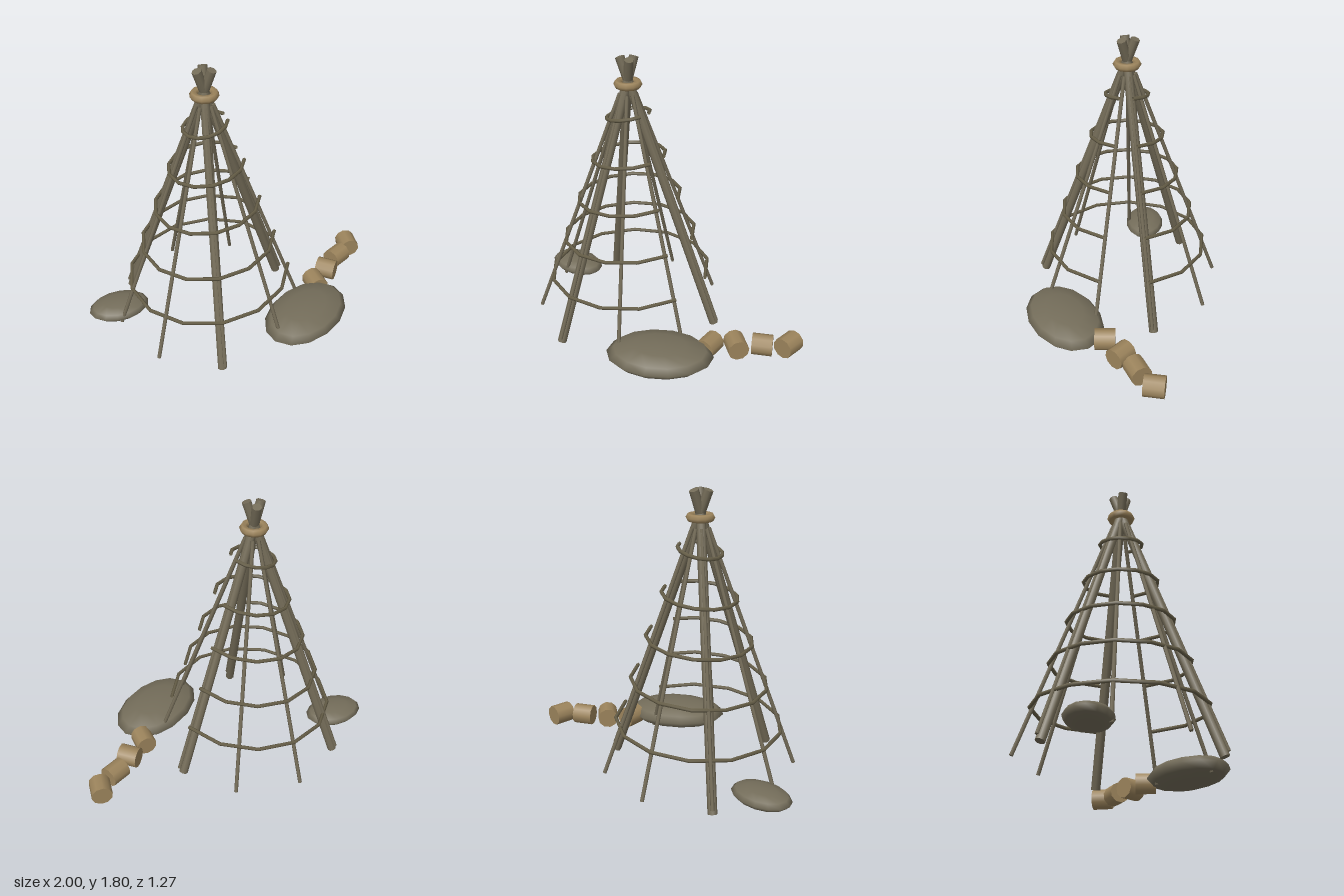
import * as THREE from 'three';

const CX = -0.205, CZ = -0.012;          // axis of the frame
const RAD = Math.PI / 180;
const DOOR_START = 19.5, SWEEP = 324.5;  // hoops and ribs leave a doorway towards +x

const wood = new THREE.MeshStandardMaterial({ color: 0x746c58 });
wood.name = 'weatheredWood';
const twig = new THREE.MeshStandardMaterial({ color: 0x686049, side: THREE.DoubleSide });
twig.name = 'darkTwig';
const stone = new THREE.MeshStandardMaterial({ color: 0x746d5a });
stone.name = 'stone';
const tan = new THREE.MeshStandardMaterial({ color: 0x9c845c });
tan.name = 'tanHide';

// point at an angle and radius around the frame axis
function around(deg, r, y) {
  return new THREE.Vector3(CX + r * Math.cos(deg * RAD), y, CZ + r * Math.sin(deg * RAD));
}

function rod(name, a, b, radius, sides, material) {
  const dir = b.clone().sub(a);
  const mesh = new THREE.Mesh(new THREE.CylinderGeometry(radius, radius, dir.length(), sides), material);
  mesh.position.copy(a).add(b).multiplyScalar(0.5);
  mesh.quaternion.setFromUnitVectors(new THREE.Vector3(0, 1, 0), dir.normalize());
  mesh.name = name;
  return mesh;
}

function rock(name, pos, size, turn) {
  const mesh = new THREE.Mesh(new THREE.SphereGeometry(1, 14, 6), stone);
  mesh.position.set(...pos);
  mesh.scale.set(...size);
  mesh.rotation.y = turn * RAD;
  mesh.name = name;
  return mesh;
}

export function createModel() {
  const model = new THREE.Group();
  model.name = 'hutFrame';

  // three heavy poles crossing just above the binding
  for (const deg of [102, 222, 342.5]) {
    model.add(rod('mainPole', around(deg, 0.59, 0.01), around(deg, -0.05, 1.795), 0.029, 8, wood));
  }

  // nine thin ribs leaning in towards the binding
  for (let i = 0; i < 9; i++) {
    const deg = DOOR_START + SWEEP * i / 8;
    model.add(rod('rib', around(deg, 0.61, 0.045), around(deg, 0.05, 1.57), 0.012, 6, wood));
  }

  // open hoops, slightly tilted, tied outside the ribs
  for (let level = 0; level < 5; level++) {
    const y = 0.335 + level * 0.275;
    const r = 0.522 - level * 0.097;
    const points = [];
    for (let i = 0; i <= 12; i++) {
      const deg = DOOR_START + SWEEP * i / 12;
      points.push(around(deg, r, y + 0.0275 * Math.cos(deg * RAD)));
    }
    const hoop = new THREE.Mesh(
      new THREE.TubeGeometry(new THREE.CatmullRomCurve3(points), 12, 0.012, 5), twig);
    hoop.name = 'hoop';
    model.add(hoop);
  }

  // binding ring around the crossing
  const binding = new THREE.Mesh(new THREE.TorusGeometry(0.063, 0.025, 6, 12), tan);
  binding.rotation.x = Math.PI / 2;
  binding.position.set(CX, 1.632, CZ);
  binding.name = 'bindingRing';
  model.add(binding);

  // flat boulders
  model.add(rock('largeStone', [0.325, 0.097, 0.385], [0.335, 0.08, 0.225], 30));
  model.add(rock('smallStone', [-0.8, 0.08, -0.145], [0.2, 0.052, 0.137], 0));

  // row of short rolls lying on the ground: x, z, axis angle
  const rolls = [[0.52, 0.12, 90], [0.655, 0.02, 43], [0.787, -0.08, -25], [0.92, -0.18, 99]];
  for (const [x, z, deg] of rolls) {
    const axis = new THREE.Vector3(Math.cos(deg * RAD), 0, Math.sin(deg * RAD)).multiplyScalar(0.065);
    const mid = new THREE.Vector3(x, 0.09, z);
    model.add(rod('roll', mid.clone().sub(axis), mid.clone().add(axis), 0.068, 10, tan));
  }

  return model;
}
